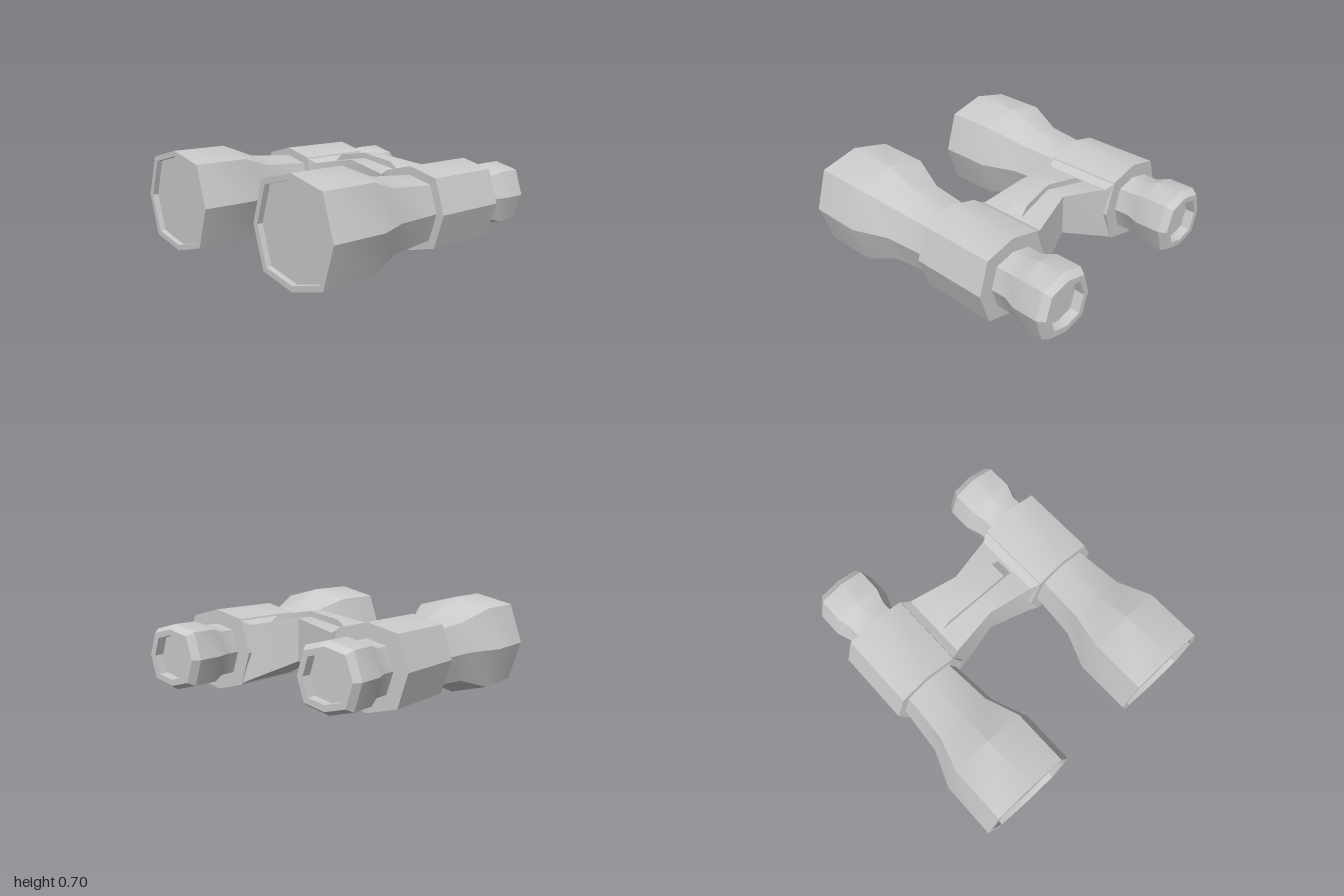
import * as THREE from 'three';
import { toCreasedNormals } from 'three/addons/utils/BufferGeometryUtils.js';

const AXIS_Y = 0.354, AXIS_Z = 0.63;
const material = new THREE.MeshStandardMaterial({ color: 0xcccccc });

// Skins a row of equal-length point rings and closes both ends.
function loft(name, rings) {
  const n = rings[0].length, index = [];
  for (let i = 0; i < rings.length - 1; i++) {
    for (let j = 0; j < n; j++) {
      const k = (j + 1) % n;
      const a = i * n + j, b = i * n + k, c = a + n, d = b + n;
      index.push(a, b, d, a, d, c);
    }
  }
  const last = (rings.length - 1) * n;
  for (let j = 1; j < n - 1; j++) {
    index.push(0, j + 1, j, last, last + j, last + j + 1);
  }
  const geometry = new THREE.BufferGeometry();
  geometry.setAttribute('position', new THREE.Float32BufferAttribute(rings.flat(2), 3));
  geometry.setIndex(index);
  const mesh = new THREE.Mesh(toCreasedNormals(geometry, 0.52), material);
  mesh.name = name;
  return mesh;
}

// Slightly squared octagon around the x axis, counter-clockwise seen from +x.
const OCTAGON = [[-1, 0], [-0.75, 0.78], [0, 0.965], [0.75, 0.78],
  [1, 0], [0.75, -0.78], [0, -0.965], [-0.75, -0.78]];
const octagonRing = ([x, r]) => OCTAGON.map(([z, y]) => [x, y * r, z * r]);

// Rectangle across the bridge at a given z; the bottom may be wider than the top.
const boxRing = ([z, x0, x1, y0, y1, flare = 0]) => [
  [x0 - flare, y0, z], [x1 + flare, y0, z], [x1, y1, z], [x0, y1, z]];

// Mirrors a list of half sections (from z = 0 outwards) to the full span.
const mirrorZ = (half) => [
  ...half.slice(1).reverse().map(([z, ...rest]) => [-z, ...rest]), ...half];

export function createModel() {
  const model = new THREE.Group();
  model.name = 'binoculars';

  // One tube from recessed front lens to recessed eyepiece, as [x, radius]
  const tubeProfile = [
    [-0.96, 0.325], [-1, 0.325], [-1, 0.365], [-0.6, 0.365], [-0.35, 0.265],
    [0, 0.236], [0, 0.295], [0.56, 0.295], [0.56, 0.192], [0.67, 0.192],
    [0.77, 0.229], [0.95, 0.229], [1, 0.197], [1, 0.155], [0.93, 0.155],
  ];
  for (const side of [1, -1]) {
    const tube = loft(side > 0 ? 'frontTube' : 'backTube', tubeProfile.map(octagonRing));
    tube.position.set(0, AXIS_Y, side * AXIS_Z);
    model.add(tube);
  }

  // Bridge, waisted in the middle: z, x range, y range, bottom flare
  model.add(loft('bridge', mirrorZ([
    [0, 0.07, 0.435, 0.315, 0.605],
    [0.345, 0.03, 0.53, 0.163, 0.546, 0.012],
    [0.41, 0, 0.56, 0.132, 0.575],
  ]).map(boxRing)));

  // Raised hinge strip with sloping ends
  model.add(loft('hingeStrip', mirrorZ([
    [0, 0.2, 0.3, 0.58, 0.643],
    [0.255, 0.213, 0.335, 0.54, 0.605],
    [0.32, 0.215, 0.345, 0.53, 0.551],
  ]).map(boxRing)));

  return model;
}
